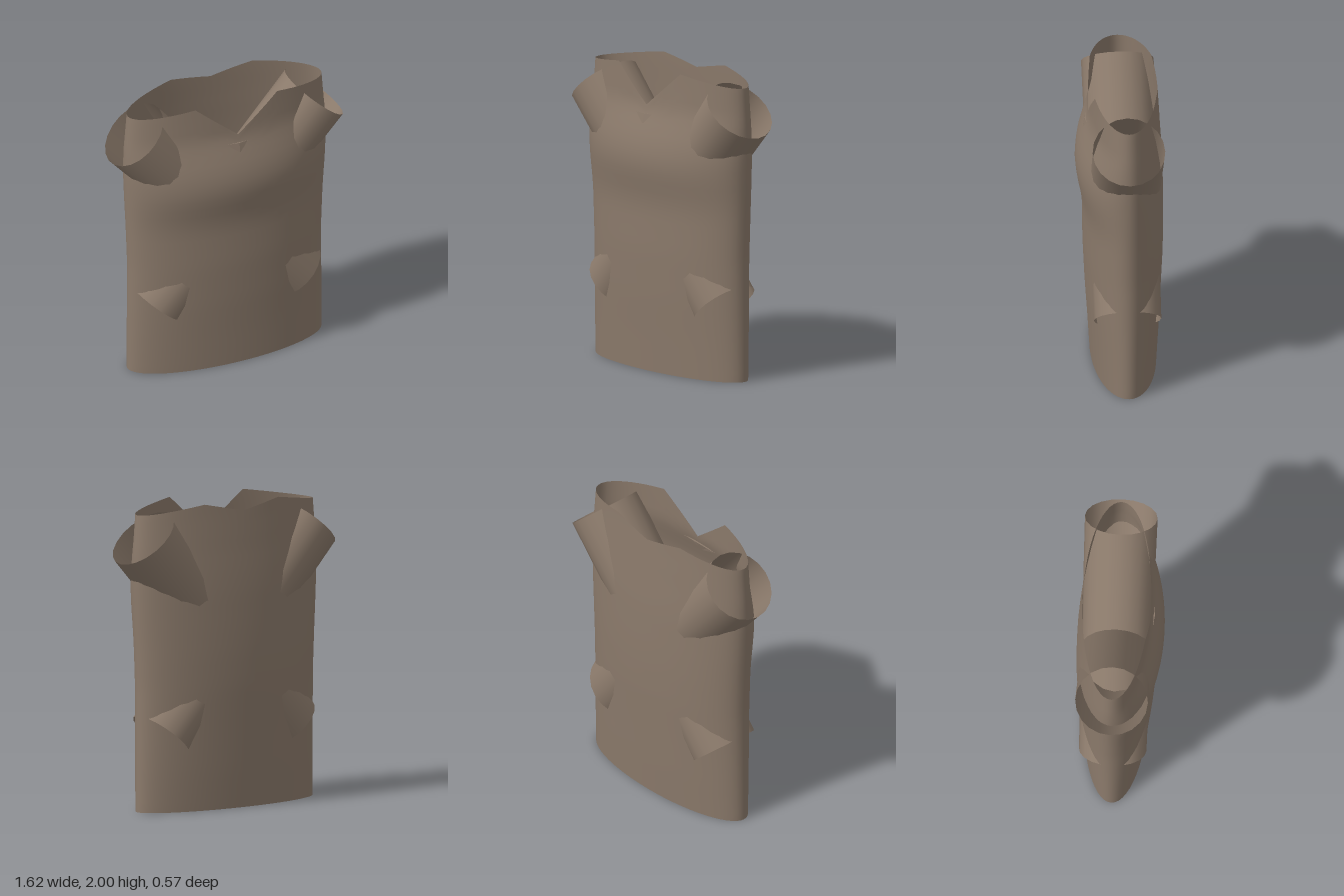
import * as THREE from 'three';

const cloth = new THREE.MeshStandardMaterial({ color: 0x8b7a6b, side: THREE.DoubleSide });
cloth.name = 'brown cloth';
const midZ = -0.025;

// Torso cross-sections: height, half width, front z, back z
const sections = [
  [0, 0.68, 0.19, -0.235], [0.25, 0.679, 0.205, -0.25], [0.5, 0.677, 0.222, -0.262],
  [0.8, 0.675, 0.236, -0.277], [1.0, 0.682, 0.238, -0.281], [1.1, 0.686, 0.24, -0.281],
  [1.2, 0.691, 0.254, -0.28], [1.3, 0.696, 0.276, -0.278], [1.4, 0.7, 0.286, -0.276],
  [1.5, 0.704, 0.278, -0.272], [1.6, 0.703, 0.25, -0.266], [1.7, 0.699, 0.217, -0.259],
  [1.76, 0.694, 0.202, -0.256], [1.94, 0.68, 0.196, -0.245], [2.0, 0.675, 0.195, -0.243],
];

function sectionAt(y) {
  let i = 0;
  while (i < sections.length - 2 && sections[i + 1][0] < y) i++;
  const a = sections[i], b = sections[i + 1];
  const t = (y - a[0]) / (b[0] - a[0]);
  return a.map((v, k) => v + (b[k] - v) * t);
}

function torsoPoint(angle, y) {
  const [, w, front, back] = sectionAt(y);
  const c = Math.cos(angle);
  return [w * Math.sin(angle), y, midZ + c * (c > 0 ? front - midZ : midZ - back)];
}

// Neckline: V at the front, shallow dip at the back, sloping shoulders
function rimHeight(angle) {
  const x = Math.abs(0.68 * Math.sin(angle));
  const dip = Math.cos(angle) > 0 ? 1.76 : 1.94;
  return x < 0.29 ? dip + (2 - dip) * x / 0.29 : 2 - 0.06 * (x - 0.29) / 0.39;
}

function torsoGeometry() {
  // Columns land exactly on the neck corners
  const neck = Math.asin(0.29 / 0.68), quarter = [];
  for (let i = 0; i < 4; i++) quarter.push(neck * i / 4);
  for (let i = 0; i < 10; i++) quarter.push(neck + (Math.PI / 2 - neck) * i / 10);
  const half = [...quarter, Math.PI / 2, ...quarter.slice(1).reverse().map(a => Math.PI - a)];
  const angles = [...half, ...half.map(a => a + Math.PI)];
  // The second half mirrors the first, starting at the middle of the back
  const n = angles.length, rows = 32, pos = [], index = [];
  for (let r = 0; r <= rows; r++) {
    for (const a of angles) {
      const low = 1.65, top = rimHeight(a);
      const y = r <= 26 ? low * r / 26 : low + (top - low) * (r - 26) / 6;
      pos.push(...torsoPoint(a, y));
    }
  }
  for (let r = 0; r < rows; r++) {
    for (let i = 0; i < n; i++) {
      const j = (i + 1) % n, a = r * n + i, b = r * n + j;
      index.push(a, b, b + n, a, b + n, a + n);
    }
  }
  const g = new THREE.BufferGeometry();
  g.setAttribute('position', new THREE.Float32BufferAttribute(pos, 3));
  g.setIndex(index);
  g.computeVertexNormals();
  return g;
}

// Small fold of cloth below the neckline
function foldGeometry() {
  const pos = [
    -0.16, 1.705, 0.205, 0, 1.64, 0.237, 0, 1.705, 0.224,
    0, 1.705, 0.224, 0, 1.64, 0.237, 0.08, 1.705, 0.212,
    -0.16, 1.705, 0.205, 0, 1.705, 0.224, 0.14, 1.705, 0.205,
  ];
  const g = new THREE.BufferGeometry();
  g.setAttribute('position', new THREE.Float32BufferAttribute(pos, 3));
  g.computeVertexNormals();
  return g;
}

// Open tube running from a shoulder down through the torso to the opposite hip
function sleeve(side) {
  const top = new THREE.Vector3(side * 0.633, 1.785, midZ);
  const low = new THREE.Vector3(side * -0.49, 0.483, midZ);
  const dir = top.clone().sub(low);
  const g = new THREE.CylinderGeometry(0.235, 0.218, dir.length(), 20, 1, true);
  const mesh = new THREE.Mesh(g, cloth);
  mesh.position.copy(top).add(low).multiplyScalar(0.5);
  mesh.rotation.z = -Math.atan2(dir.x, dir.y);
  mesh.name = side > 0 ? 'leftSleeve' : 'rightSleeve';
  return mesh;
}

export function createModel() {
  const group = new THREE.Group();
  group.name = 'sleevedTop';
  const torso = new THREE.Mesh(torsoGeometry(), cloth);
  torso.name = 'torso';
  const fold = new THREE.Mesh(foldGeometry(), cloth);
  fold.name = 'necklineFold';
  group.add(torso, fold, sleeve(1), sleeve(-1));
  return group;
}
